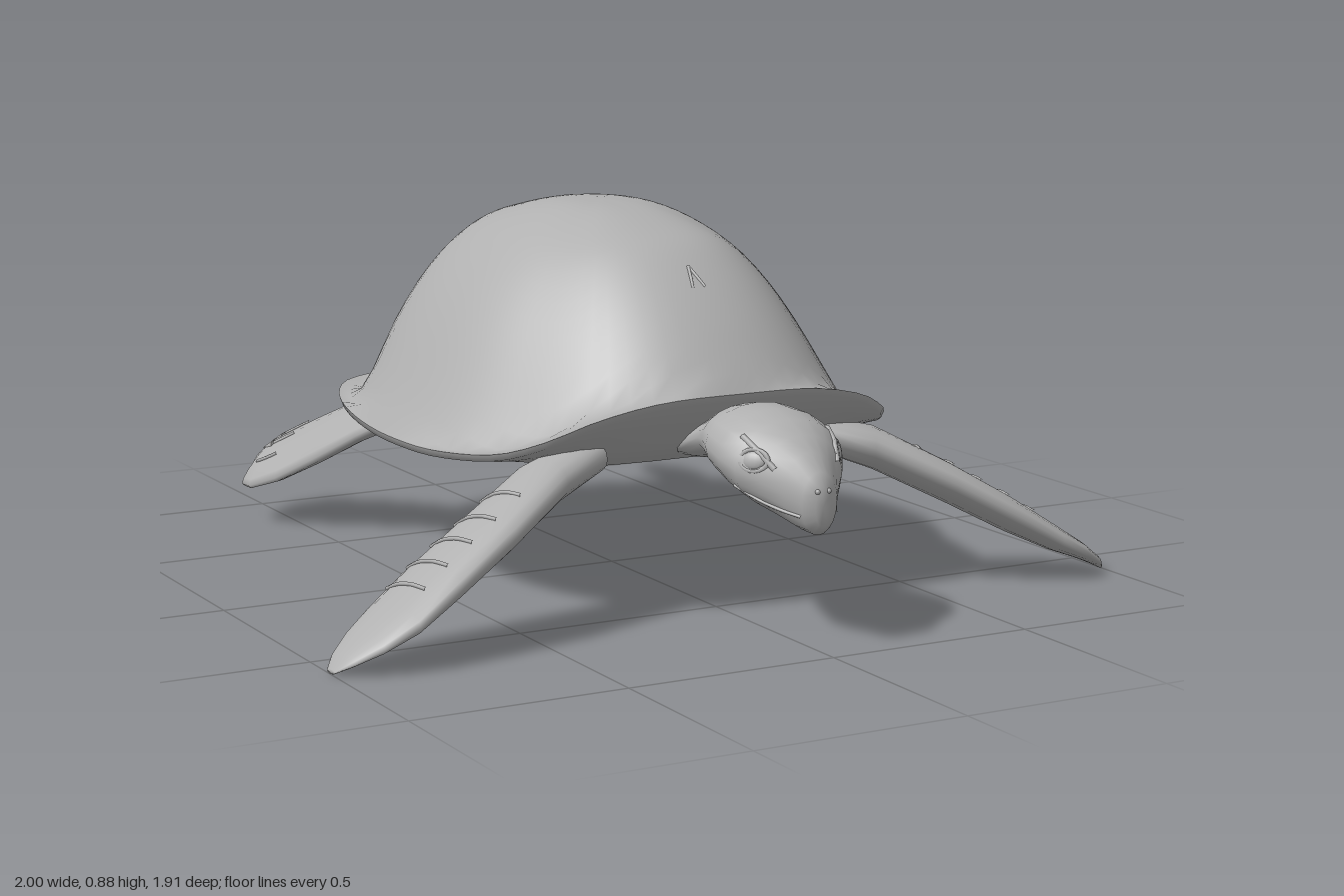
import * as THREE from 'three';

const V = (x, y, z) => new THREE.Vector3(x, y, z);
const skin = new THREE.MeshStandardMaterial({ color: 0xb0b0b0 });
skin.name = 'plainGrey';

function part(name, geometry) {
  const mesh = new THREE.Mesh(geometry, skin);
  mesh.name = name;
  return mesh;
}

// Skin over a list of closed rings; faces are turned outward from the body's middle
function loft(rings, capStart = true, capEnd = true) {
  const n = rings[0].length, pts = rings.flat().map(p => p.clone()), index = [];
  for (let i = 0; i < rings.length - 1; i++) {
    for (let j = 0; j < n; j++) {
      const a = i * n + j, b = i * n + (j + 1) % n;
      index.push(a, b, a + n, b, b + n, a + n);
    }
  }
  const cap = (row, flip) => {
    const mid = V(0, 0, 0);
    rings[row].forEach(p => mid.addScaledVector(p, 1 / n));
    const c = pts.push(mid) - 1;
    for (let j = 0; j < n; j++) {
      const a = row * n + j, b = row * n + (j + 1) % n;
      index.push(c, flip ? a : b, flip ? b : a);
    }
  };
  if (capStart) cap(0, false);
  if (capEnd) cap(rings.length - 1, true);
  const ref = V(0, 0.42, 0);
  let volume = 0;
  for (let i = 0; i < index.length; i += 3) {
    const [a, b, c] = [0, 1, 2].map(k => pts[index[i + k]].clone().sub(ref));
    volume += a.dot(b.cross(c));
  }
  if (volume < 0) index.reverse();
  const g = new THREE.BufferGeometry().setFromPoints(pts);
  g.setIndex(index);
  g.computeVertexNormals();
  return g;
}

// A limb section is [edge A xyz, edge B xyz, half thickness]
function onSection(r, angle, side = 1) {
  const a = V(r[0], r[1], r[2]), b = V(r[3], r[4], r[5]);
  const p = a.clone().add(b).multiplyScalar(0.5).addScaledVector(a.sub(b), 0.5 * Math.cos(angle));
  p.y += r[6] * Math.sin(angle);
  p.x *= side;
  return p;
}
function sectionAt(rows, u) {
  const i = Math.min(Math.floor(u), rows.length - 2);
  return rows[i].map((v, k) => v + (rows[i + 1][k] - v) * (u - i));
}
function limb(rows, side = 1, n = 16) {
  return loft(rows.map(r => Array.from({ length: n }, (_, j) => onSection(r, j / n * Math.PI * 2, side))));
}

// Thin raised fold following a few points
function fold(name, points, radius = 0.005) {
  return part(name, new THREE.TubeGeometry(new THREE.CatmullRomCurve3(points), 10, radius, 6));
}

// Half of the shell rim, from front middle to back middle
const RIM = [
  [0, 0.51, 0.605], [0.2, 0.505, 0.602], [0.34, 0.475, 0.575], [0.44, 0.425, 0.51], [0.5, 0.385, 0.4],
  [0.555, 0.362, 0.2], [0.57, 0.357, 0], [0.56, 0.36, -0.2], [0.52, 0.37, -0.42], [0.455, 0.375, -0.58],
  [0.4, 0.378, -0.655], [0.3, 0.38, -0.71], [0.13, 0.383, -0.742], [0, 0.386, -0.77],
];
// Dome height by distance from the crown, toward the side, front and back
const REACH = [0, 0.2, 0.4, 0.55, 0.68, 0.78, 0.86, 0.92, 0.97, 1];
const HEIGHT = [
  [1, 1, 1], [0.98, 0.97, 0.985], [0.885, 0.885, 0.93], [0.755, 0.79, 0.87], [0.59, 0.63, 0.745],
  [0.42, 0.47, 0.59], [0.26, 0.32, 0.4], [0.14, 0.19, 0.16], [0.05, 0.08, 0.03], [0, 0, 0],
];

function buildShell(group) {
  const left = RIM.map(p => V(...p));
  const right = left.slice(1, -1).reverse().map(p => V(-p.x, p.y, p.z));
  const rim = new THREE.CatmullRomCurve3([...left, ...right], true).getSpacedPoints(80).slice(0, 80);
  const at = (p, r, y) => V(p.x * r, y, -0.05 + (p.z + 0.05) * r);
  const height = new THREE.CubicInterpolant(REACH, HEIGHT.flat(), 3);

  // The dome is oval, so the rim flares out flat at its squarer corners
  const dome = Array.from({ length: 24 }, (_, i) => Math.max(0.03, i / 23)).map(r => rim.map(p => {
    const front = p.z > -0.05;
    const dx = (p.x / 0.57) ** 2, dz = ((p.z + 0.05) / (front ? 0.655 : 0.72)) ** 2;
    const oval = Math.min(1, r * Math.max(1, Math.sqrt(dx + dz)));
    const h = height.evaluate(oval);
    const f = (h[0] * dx + h[front ? 1 : 2] * dz) / (dx + dz);
    return at(p, r, p.y + (0.88 - p.y) * f);
  }));
  group.add(part('shell', loft(dome, true, false)));

  // Rim lip and flat belly: reach, share of the rim height kept, drop
  const belly = [[1, 1, 0], [0.99, 1, 0.016], [0.93, 0.75, 0.01], [0.82, 0.35, 0], [0.7, 0.06, 0], [0.5, 0, 0], [0.05, 0, 0]];
  group.add(part('belly', loft(belly.map(([r, lift, drop]) =>
    rim.map(p => at(p, r, 0.322 + (p.y - 0.322) * lift - drop))), false, true)));

  // Small nick near the front of the shell
  for (const s of [-1, 1]) {
    group.add(fold('shellNick', [V(0, 0.766, 0.365), V(s * 0.008, 0.745, 0.392), V(s * 0.016, 0.724, 0.415)], 0.004));
  }
}

function buildHead(group) {
  // z, half width, top, bottom
  const rows = [
    [0.34, 0.1, 0.4, 0.335], [0.48, 0.085, 0.425, 0.345], [0.56, 0.085, 0.462, 0.36], [0.62, 0.11, 0.492, 0.35],
    [0.68, 0.135, 0.505, 0.333], [0.75, 0.145, 0.502, 0.312], [0.81, 0.138, 0.488, 0.292], [0.86, 0.105, 0.462, 0.277],
    [0.9, 0.07, 0.432, 0.26], [0.935, 0.045, 0.395, 0.256], [0.952, 0.02, 0.365, 0.275],
  ].map(([z, w, top, low]) => [w, (top + low) / 2, z, -w, (top + low) / 2, z, (top - low) / 2]);
  group.add(part('head', limb(rows, 1, 20)));

  for (const s of [-1, 1]) {
    // Eye, lids and mouth line
    const eye = new THREE.Group();
    eye.name = 'eye';
    eye.add(part('eyeball', new THREE.SphereGeometry(0.024, 14, 10).scale(1.15, 0.85, 0.4)));
    eye.add(part('eyelid', new THREE.TorusGeometry(0.028, 0.006, 6, 18).scale(1.15, 0.85, 1)));
    eye.position.set(s * 0.106, 0.412, 0.838);
    eye.rotation.set(-0.25, s * 0.95, 0, 'YXZ');
    group.add(eye);
    group.add(fold('brow', [0.7, 0.6, 0.45].map((a, i) =>
      onSection(sectionAt(rows, 5.7 + i * 0.9), a, s)), 0.007));
    group.add(fold('mouthLine', [-0.5, -0.55, -0.5, -0.4].map((a, i) =>
      onSection(sectionAt(rows, 5.6 + i * 1.1), a, s)), 0.004));
    const nostril = part('nostril', new THREE.SphereGeometry(0.006, 8, 6));
    nostril.position.set(s * 0.014, 0.355, 0.95);
    group.add(nostril);
  }
}

const FLIPPER = [
  [0.28, 0.37, 0.5, 0.3, 0.37, 0.36, 0.04], [0.4, 0.335, 0.545, 0.47, 0.315, 0.4, 0.052],
  [0.57, 0.25, 0.63, 0.63, 0.225, 0.435, 0.05], [0.72, 0.165, 0.675, 0.77, 0.145, 0.463, 0.045],
  [0.83, 0.1, 0.7, 0.87, 0.09, 0.5, 0.034], [0.91, 0.06, 0.692, 0.935, 0.055, 0.533, 0.023],
  [0.965, 0.03, 0.662, 0.978, 0.025, 0.562, 0.014], [0.996, 0.006, 0.625, 1, 0.005, 0.59, 0.005],
];
const HIND_LEG = [
  [0.2, 0.36, -0.42, 0.36, 0.345, -0.36, 0.025], [0.3, 0.32, -0.62, 0.45, 0.26, -0.51, 0.038],
  [0.345, 0.285, -0.74, 0.515, 0.19, -0.62, 0.042], [0.385, 0.245, -0.83, 0.58, 0.13, -0.715, 0.038],
  [0.425, 0.21, -0.9, 0.62, 0.1, -0.79, 0.03], [0.47, 0.178, -0.95, 0.615, 0.095, -0.85, 0.022],
  [0.525, 0.145, -0.95, 0.57, 0.115, -0.9, 0.01],
];

function buildLimbs(group, side) {
  const prefix = side > 0 ? 'left' : 'right';
  group.add(part(prefix + 'FrontFlipper', limb(FLIPPER, side)));
  // Scale folds across the flipper
  for (const u of [1.6, 2.05, 2.5, 2.95, 3.5]) {
    group.add(fold('flipperFold', [1.1, 1.6, 2.1, 2.6].map(a => onSection(sectionAt(FLIPPER, u), a, side))));
  }

  group.add(part(prefix + 'HindLeg', limb(HIND_LEG, side)));
  // Toe folds and claws
  for (const a of [0.6, 1.3, 2]) {
    group.add(fold('toeFold', [3.5, 4, 4.6].map(u => onSection(sectionAt(HIND_LEG, u), a, side))));
  }
  for (const a of [0.45, 1.2]) {
    const claw = part('claw', new THREE.ConeGeometry(0.014, 0.05, 8));
    claw.position.copy(onSection(HIND_LEG[5], a, side));
    claw.position.z += 0.012;
    claw.quaternion.setFromUnitVectors(V(0, 1, 0), V(side * 0.3, -0.25, -0.9).normalize());
    group.add(claw);
  }
}

export function createModel() {
  const turtle = new THREE.Group();
  turtle.name = 'seaTurtle';
  buildShell(turtle);
  buildHead(turtle);
  for (const side of [1, -1]) buildLimbs(turtle, side);
  return turtle;
}
